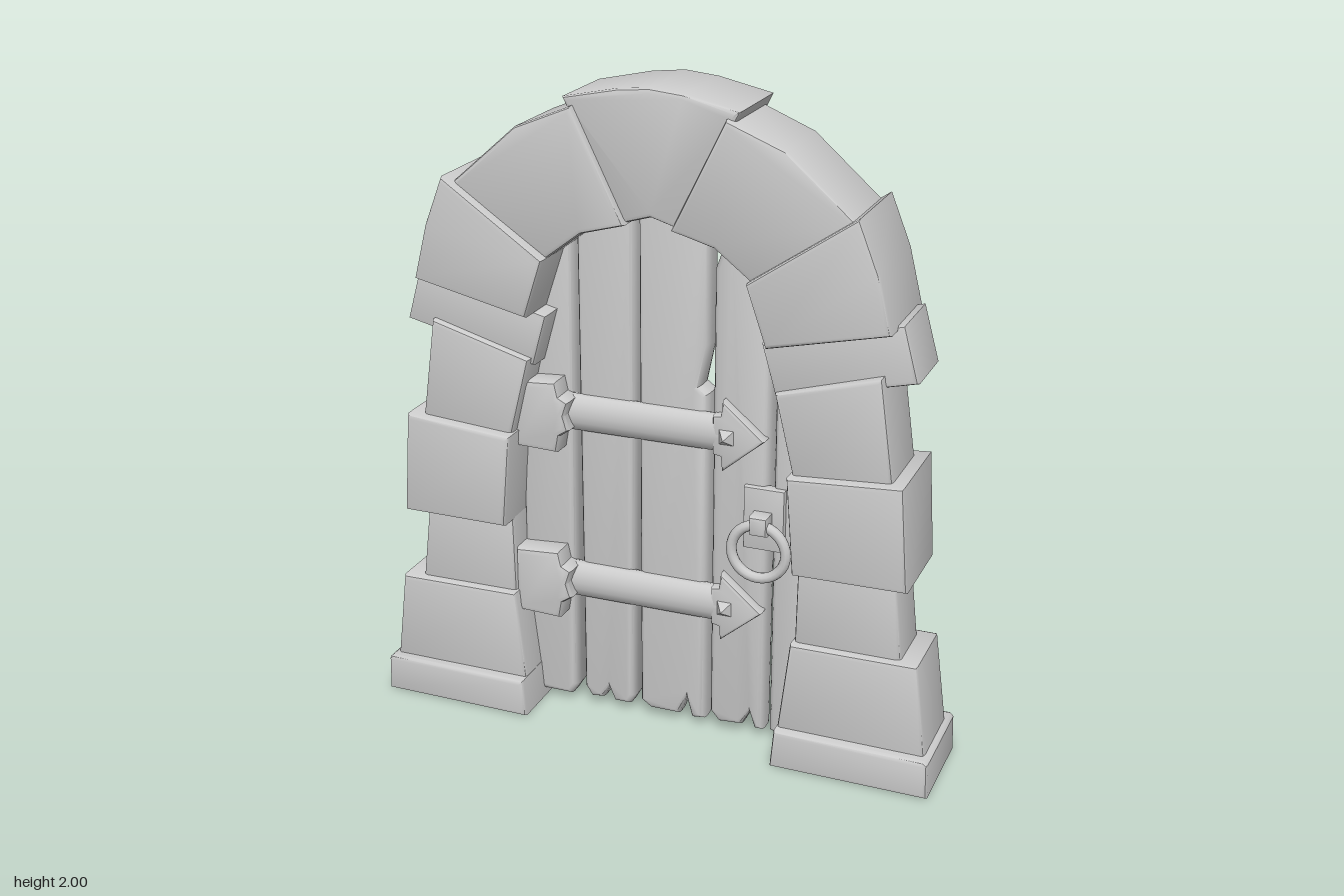
import * as THREE from 'three';
import { toCreasedNormals } from 'three/addons/utils/BufferGeometryUtils.js';

const material = new THREE.MeshStandardMaterial({ color: 0xcccccc });

function add(parent, name, geometry) {
  const mesh = new THREE.Mesh(geometry, material);
  mesh.name = name;
  parent.add(mesh);
  return mesh;
}

// Outline in x,y extruded from z0 to z1, with rounded edges kept inside the outline
function slab(points, z0, z1, bevel, thickness = bevel, segments = 2) {
  const shape = new THREE.Shape(points.map(([x, y]) => new THREE.Vector2(x, y)));
  const geometry = new THREE.ExtrudeGeometry(shape, {
    depth: z1 - z0 - 2 * thickness, bevelEnabled: true, bevelSize: bevel,
    bevelThickness: thickness, bevelOffset: -bevel, bevelSegments: segments,
  });
  geometry.translate(0, 0, z0 + thickness);
  return geometry;
}

// Hewn stone: depth varies a little over the face
function stone(points, z0, z1) {
  const geometry = slab(points, z0, z1, 0.014);
  const p = geometry.attributes.position;
  for (let i = 0; i < p.count; i++) {
    const wave = Math.sin(9 * p.getX(i) + 7 * p.getY(i));
    p.setZ(i, p.getZ(i) * (0.975 + 0.025 * wave));
  }
  return toCreasedNormals(geometry, 0.75);
}

const mirror = (points) => points.map(([x, y]) => [-x, y]);

// One side of the arch, from the ground up: name, back z, front z, outline
const sideStones = [
  ['plinth', -0.16, 0.17, [[0.4, 0], [0.885, 0], [0.882, 0.11], [0.87, 0.12], [0.41, 0.12]]],
  ['footStone', -0.12, 0.135, [[0.41, 0.11], [0.865, 0.11], [0.828, 0.4], [0.445, 0.4]]],
  ['lowerStone', -0.09, 0.105, [[0.45, 0.38], [0.775, 0.38], [0.745, 0.66], [0.455, 0.66]]],
  ['middleStone', -0.15, 0.168, [[0.455, 0.64], [0.795, 0.64], [0.773, 0.96], [0.43, 0.935]]],
  ['upperStone', -0.11, 0.132, [[0.44, 0.92], [0.735, 0.94], [0.69, 1.26], [0.38, 1.17]]],
  ['springerStone', -0.13, 0.105, [[0.375, 1.145], [0.785, 1.245], [0.74, 1.41], [0.33, 1.305]]],
  ['haunchStone', -0.17, 0.178, [[0.365, 1.315], [0.72, 1.395], [0.68, 1.56], [0.62, 1.71], [0.305, 1.495]]],
  ['archStone', -0.15, 0.142, [[0.31, 1.49], [0.61, 1.68], [0.4, 1.865], [0.23, 1.935], [0.07, 1.61], [0.2, 1.575]]],
];

// Plank outlines with split, jagged feet
const planks = [
  [[-0.46, 0.03], [-0.4, 0.02], [-0.31, 0.02], [-0.285, 0.06], [-0.28, 1.54], [-0.46, 1.4]],
  [[-0.265, 0.06], [-0.24, 0.025], [-0.2, 0.03], [-0.18, 0.07], [-0.165, 0.025], [-0.11, 0.025],
    [-0.09, 0.06], [-0.085, 1.64], [-0.27, 1.56]],
  [[-0.075, 0.05], [-0.04, 0.025], [0.055, 0.025], [0.08, 0.09], [0.095, 0.02], [0.14, 0.025],
    [0.145, 1.1], [0.118, 1.12], [0.145, 1.25], [0.143, 1.65], [-0.075, 1.67]],
  [[0.155, 0.06], [0.185, 0.025], [0.26, 0.03], [0.285, 0.08], [0.3, 0.025], [0.33, 0.025],
    [0.335, 1.53], [0.205, 1.61], [0.158, 1.48]],
  [[0.348, 0.03], [0.4, 0.02], [0.46, 0.03], [0.46, 1.38], [0.348, 1.45]],
];

// Strap hinge around its own centre line: bar, arrow head, stud and wrapped end
function hinge() {
  const group = new THREE.Group();
  const bar = new THREE.CylinderGeometry(0.058, 0.058, 0.52, 16);
  bar.rotateZ(Math.PI / 2).scale(1, 1, 0.65).translate(-0.05, 0, 0.018);
  add(group, 'hingeBar', bar);
  const head = [[0.17, 0.06], [0.195, 0.065], [0.2, 0.11], [0.33, 0], [0.2, -0.11], [0.195, -0.065], [0.17, -0.06]];
  add(group, 'arrowHead', toCreasedNormals(slab(head, 0, 0.055, 0.012), 0.7));
  const stud = new THREE.ConeGeometry(0.034, 0.035, 4, 1).toNonIndexed();
  stud.rotateY(Math.PI / 4).rotateX(Math.PI / 2).translate(0.215, 0, 0.07);
  stud.computeVertexNormals();
  add(group, 'hingeStud', stud);
  const plate = [[-0.455, -0.11], [-0.31, -0.115], [-0.3, -0.06], [-0.27, -0.04], [-0.285, 0.005],
    [-0.27, 0.05], [-0.3, 0.065], [-0.31, 0.11], [-0.455, 0.1]];
  add(group, 'hingePlate', toCreasedNormals(slab(plate, 0, 0.095, 0.018), 0.7));
  return group;
}

export function createModel() {
  const model = new THREE.Group();
  model.name = 'archedDoor';

  // Stone arch
  const arch = new THREE.Group();
  arch.name = 'stoneArch';
  model.add(arch);
  for (const [name, z0, z1, outline] of sideStones) {
    add(arch, name + 'Left', stone(outline, z0, z1));
    add(arch, name + 'Right', stone(mirror(outline), z0, z1));
  }
  const keystone = [[-0.265, 1.955], [-0.25, 1.925], [-0.085, 1.61], [0, 1.635], [0.085, 1.61],
    [0.25, 1.925], [0.265, 1.955], [0.1, 1.99], [0, 2], [-0.1, 1.99]];
  add(arch, 'keystone', stone(keystone, -0.18, 0.115));

  // Plank door
  const door = new THREE.Group();
  door.name = 'door';
  model.add(door);
  planks.forEach((outline, i) =>
    add(door, 'plank' + (i + 1), toCreasedNormals(slab(outline, -0.07, 0.02, 0.018, 0.03, 3), 0.7)));

  // Hinges
  for (const [name, y] of [['upperHinge', 0.99], ['lowerHinge', 0.44]]) {
    const h = hinge();
    h.name = name;
    h.position.y = y;
    door.add(h);
  }

  // Ring handle
  const handle = new THREE.Group();
  handle.name = 'handle';
  door.add(handle);
  const plate = [[0.265, 0.645], [0.39, 0.645], [0.39, 0.84], [0.265, 0.84]];
  add(handle, 'handlePlate', toCreasedNormals(slab(plate, 0, 0.04, 0.005), 0.7));
  const staple = [[0.3, 0.71], [0.355, 0.71], [0.355, 0.77], [0.3, 0.77]];
  add(handle, 'ringStaple', toCreasedNormals(slab(staple, 0.03, 0.095, 0.012), 0.7));
  const ring = add(handle, 'handleRing', new THREE.TorusGeometry(0.084, 0.016, 10, 32));
  ring.position.set(0.325, 0.655, 0.072);

  return model;
}
